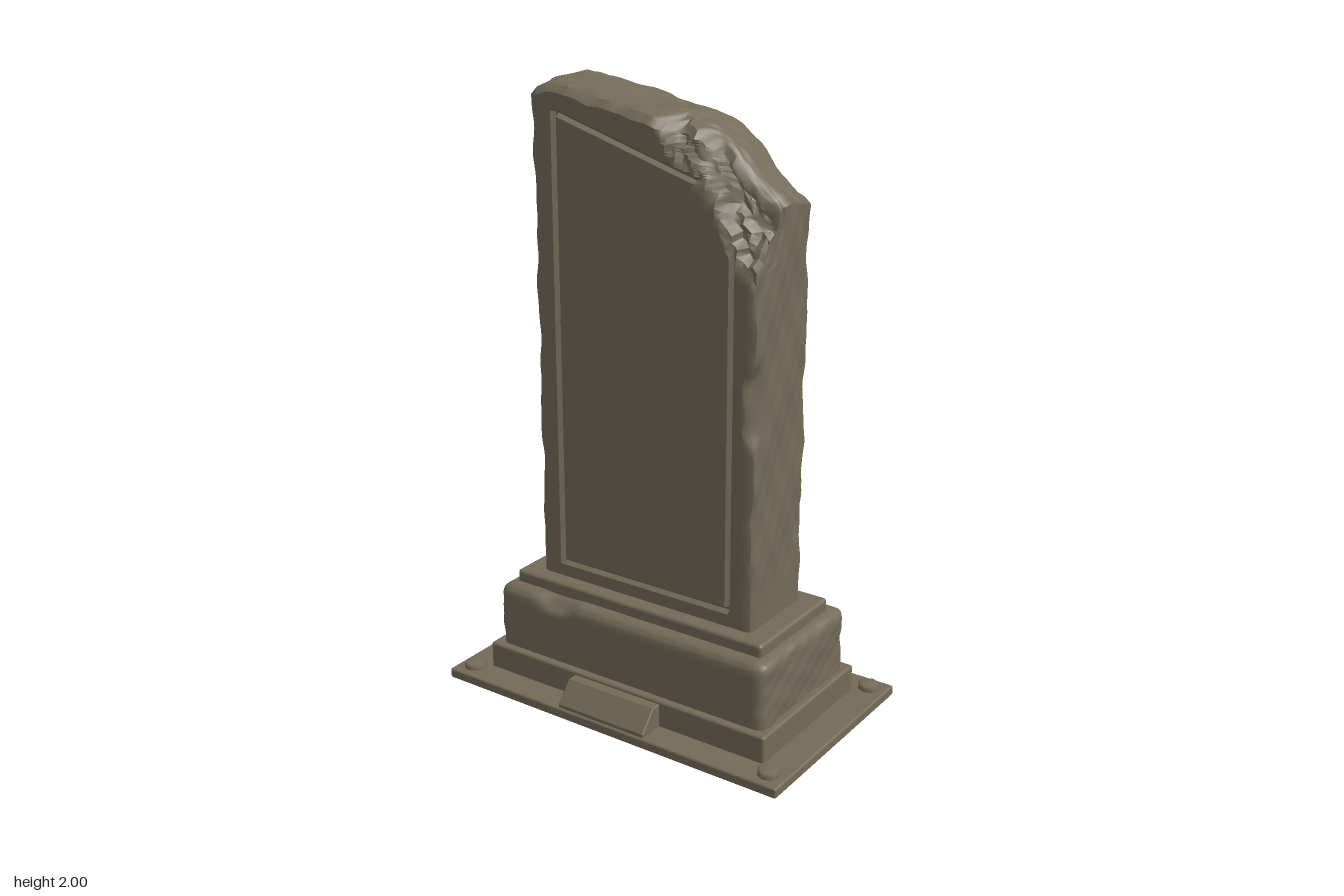
import * as THREE from 'three';
import { mergeVertices, toCreasedNormals } from 'three/addons/utils/BufferGeometryUtils.js';
import { RoundedBoxGeometry } from 'three/addons/geometries/RoundedBoxGeometry.js';

const stone = new THREE.MeshStandardMaterial({ color: 0x736a58 });
stone.name = 'weathered stone';

const { lerp, clamp, smoothstep } = THREE.MathUtils;

// Piecewise linear curve through [x, y] points
function along(points, x) {
  if (x <= points[0][0]) return points[0][1];
  for (let i = 1; i < points.length; i++) {
    const [x0, y0] = points[i - 1], [x1, y1] = points[i];
    if (x <= x1) return lerp(y0, y1, (x - x0) / (x1 - x0));
  }
  return points[points.length - 1][1];
}

// Gentle, repeatable roughness in -1..1
const rough = (a, b) =>
  0.45 * Math.sin(a * 17 + b * 9) + 0.3 * Math.sin(a * 31 - b * 23 + 1.3) + 0.25 * Math.sin(a * 53 + b * 41 + 0.6);

// Evenly spaced values through a list of [end, steps]
function ticks(start, spans) {
  const out = [start];
  for (const [end, n] of spans) {
    const from = out[out.length - 1];
    for (let i = 1; i <= n; i++) out.push(lerp(from, end, i / n));
  }
  return out;
}

// Moves every vertex of a segmented box by a rule, then recomputes soft normals
function shapeBox(nx, ny, nz, rule, crease) {
  let geo = new THREE.BoxGeometry(1, 1, 1, nx, ny, nz);
  const p = geo.attributes.position;
  for (let v = 0; v < p.count; v++) {
    const i = Math.round((p.getX(v) + 0.5) * nx);
    const j = Math.round((p.getY(v) + 0.5) * ny);
    const k = Math.round((p.getZ(v) + 0.5) * nz);
    p.setXYZ(v, ...rule(i, j, k));
  }
  geo.deleteAttribute('normal');
  geo.deleteAttribute('uv');
  return toCreasedNormals(mergeVertices(geo, 1e-5), crease);
}

// Broken slanting top and the edge of the missing front corner
const TOP = [[-0.41, 1.955], [-0.39, 1.985], [-0.35, 2.0], [-0.24, 1.985], [-0.12, 1.963], [0, 1.935],
  [0.1, 1.92], [0.17, 1.89], [0.25, 1.835], [0.3, 1.765], [0.36, 1.715], [0.4, 1.69], [0.41, 1.66]];
const BREAK = [[0.02, 1.93], [0.08, 1.82], [0.15, 1.77], [0.2, 1.71], [0.26, 1.66], [0.3, 1.57], [0.36, 1.5], [0.41, 1.44]];

function steleGeometry() {
  const g = 0.011;
  const X = ticks(-0.405, [[-0.32 - g, 4], [-0.32, 1], [-0.32 + g, 1], [0.32 - g, 36], [0.32, 1], [0.32 + g, 1], [0.405, 4]]);
  const left = 5, right = X.length - 6;
  const low = 3, high = 68, nz = 16, ny = 81;
  const rowHeight = (j, x, top) => {
    const line = Math.min(1.9 - 0.3 * (x + 0.32), top - 0.045);
    if (j <= 2) return lerp(0.37, 0.43 - g, j / 2);
    if (j <= 4) return 0.43 + (j - 3) * g;
    if (j < high) return lerp(0.43 + g, line - g, (j - 4) / (high - 5));
    if (j <= high + 1) return line + (j - high) * g;
    return lerp(line + g, top, (j - high - 1) / (ny - high - 1));
  };
  return shapeBox(X.length - 1, ny, nz, (i, j, k) => {
    let x = X[i], z = lerp(-0.15, 0.15, k / nz);
    // Domed, worn crown
    const t = Math.abs(z) / 0.15;
    const wear = 0.01 * rough(x * 1.4, z * 2) * (1 - t * 0.3);
    const top = along(TOP, x) - 0.022 * t ** 2 - 0.02 * smoothstep(t, 0.85, 1) + Math.min(wear, 0.004);
    const y = rowHeight(j, x, top);
    const up = smoothstep(y, 0.4, 0.6);

    // Rounded upright corners
    const r = 0.02, cx = clamp(x, -0.405 + r, 0.405 - r), cz = clamp(z, -0.15 + r, 0.15 - r);
    const d = Math.hypot(x - cx, z - cz);
    if (d > r) { x = cx + (x - cx) * r / d; z = cz + (z - cz) * r / d; }

    // Hewn narrow sides
    const edge = smoothstep(Math.abs(x), 0.34, 0.405);
    x += Math.sign(x) * edge * up * 0.008 * rough(y * 0.9, z * 2.5 + x);
    if (x < 0) x -= edge * 0.012 * smoothstep(y, 1.84, 1.94);
    else x -= edge * 0.025 * smoothstep(z, 0.08, 0.15) * smoothstep(0.14 - Math.abs(y - 1.1), 0, 0.07);

    // Broken front corner with jagged ledges
    const over = y - along(BREAK, x) + 0.018 * rough(x * 3, y * 2);
    let depth = 0;
    if (x > 0.0 && over > 0) {
      const ledge = 0.35 * over + 0.028 * Math.floor(over / 0.055 + 0.4 * rough(x * 2.2, y));
      depth = clamp(ledge + 0.014 * rough(x * 4, y * 3), 0, 0.11);
      if (z > 0) z *= (0.15 - depth) / 0.15;
    }

    // Incised border line on both broad faces
    const upright = (i === left || i === right) && j >= low && j <= high;
    const level = (j === low || j === high) && i >= left && i <= right;
    if ((upright || level) && (k === 0 || k === nz) && !(k === nz && depth > 0)) z -= Math.sign(z) * 0.014;
    return [x, y, z];
  }, 0.6);
}

// Plinth block with worn rounded edges and a chip on the front top edge
function plinthGeometry() {
  const w = 0.515, d = 0.253, y0 = 0.11, y1 = 0.338, r = 0.032;
  return shapeBox(48, 14, 24, (i, j, k) => {
    const p = new THREE.Vector3(lerp(-w, w, i / 48), lerp(y0, y1, j / 14), lerp(-d, d, k / 24));
    const c = new THREE.Vector3(clamp(p.x, r - w, w - r), Math.min(p.y, y1 - r), clamp(p.z, r - d, d - r));
    const off = p.clone().sub(c);
    if (off.length() > r) p.copy(c).add(off.setLength(r));
    if (Math.abs(p.x) > w - r) p.x += 0.005 * rough(p.y * 2, p.z * 1.5);
    const chip = smoothstep(0.1 - Math.abs(p.x + 0.28), 0, 0.08) * smoothstep(p.z, 0.19, 0.25) * smoothstep(p.y, 0.28, 0.33);
    p.y -= 0.022 * chip;
    p.z -= 0.012 * chip;
    return p.toArray();
  }, 0.7);
}

export function createModel() {
  const model = new THREE.Group();
  model.name = 'stone monument';
  const add = (name, geo, x = 0, y = 0, z = 0) => {
    const mesh = new THREE.Mesh(geo, stone);
    mesh.name = name;
    mesh.position.set(x, y, z);
    model.add(mesh);
    return mesh;
  };
  const slab = (name, w, d, y0, y1, r) =>
    add(name, new RoundedBoxGeometry(w, y1 - y0, d, 3, r), 0, (y0 + y1) / 2, 0);

  // Stepped base
  slab('groundPlate', 1.28, 0.75, 0, 0.034, 0.007);
  slab('lowerStep', 1.076, 0.556, 0.025, 0.122, 0.009);
  add('plinth', plinthGeometry());
  slab('upperStep', 0.952, 0.404, 0.32, 0.378, 0.012);

  // Upright slab
  add('stele', steleGeometry());

  // Bolt heads at the plate corners
  const bolt = new THREE.LatheGeometry(
    [[0.036, 0], [0.036, 0.014], [0.03, 0.021], [0, 0.024]].map(([x, y]) => new THREE.Vector2(x, y)), 8);
  for (const x of [-0.58, 0.58])
    for (const z of [-0.315, 0.315]) add('bolt', bolt, x, 0.032, z);

  // Sloping plaque blocks, front and back
  const wedge = new THREE.Shape([[0.26, 0.03], [0.364, 0.03], [0.364, 0.044], [0.31, 0.108], [0.26, 0.108]]
    .map(([z, y]) => new THREE.Vector2(z, y)));
  const wedgeGeo = new THREE.ExtrudeGeometry(wedge, {
    depth: 0.328, bevelEnabled: true, bevelSize: 0.003, bevelThickness: 0.003, bevelSegments: 1 });
  wedgeGeo.translate(0, 0, -0.164);
  add('frontPlaqueBlock', wedgeGeo, -0.013).rotation.y = -Math.PI / 2;
  add('backPlaqueBlock', wedgeGeo, -0.013).rotation.y = Math.PI / 2;

  return model;
}
